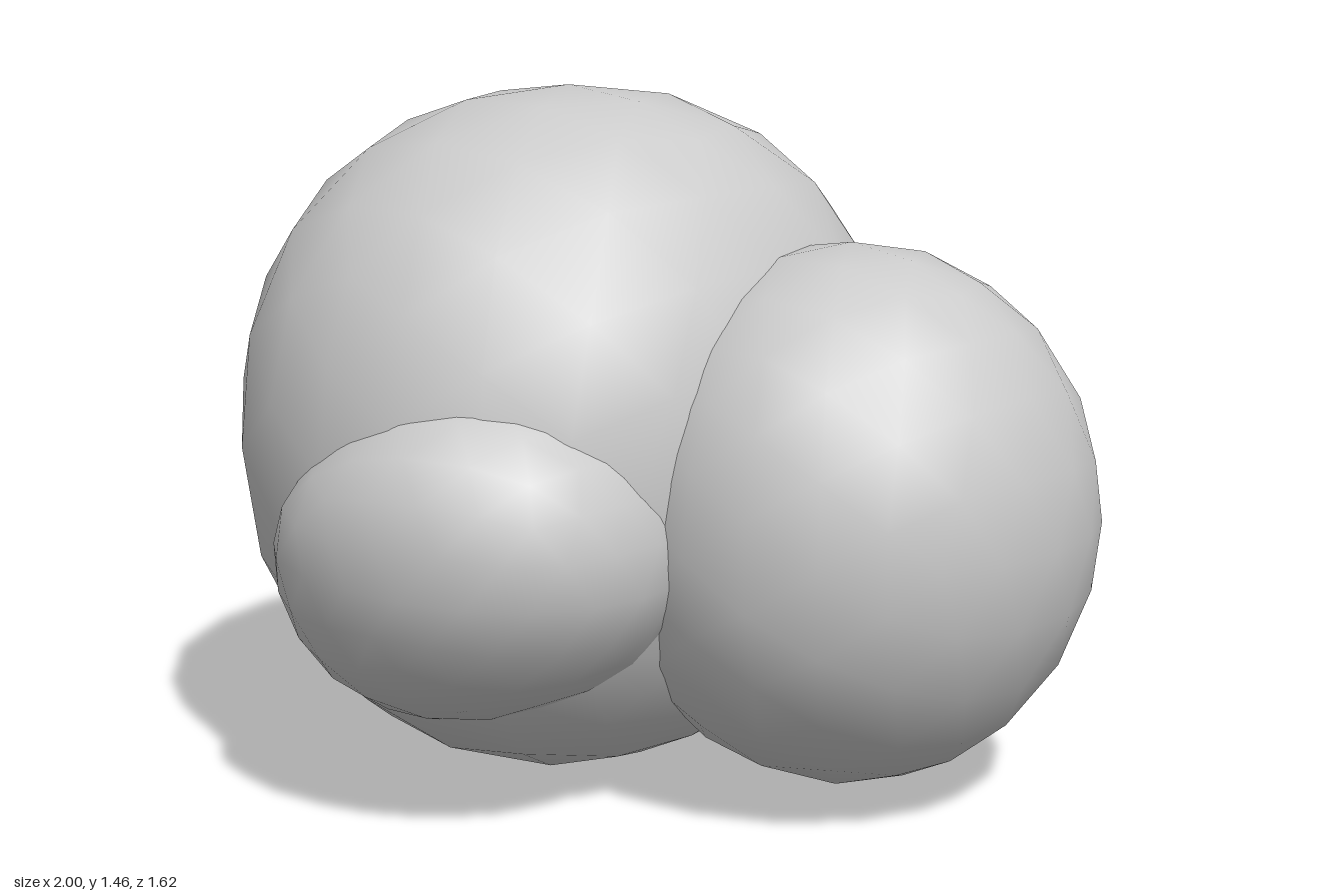
import * as THREE from 'three';
import { mergeVertices } from 'three/addons/utils/BufferGeometryUtils.js';

const material = new THREE.MeshStandardMaterial({ color: 0xcccccc });

// One smooth low-poly lobe: a slightly blunt icosphere stretched to its radii.
// power: 2 is round, higher is blunter; shape: a rule that leans it
function lobe(name, center, radii, power, shape, tilt = 0) {
  const ball = new THREE.IcosahedronGeometry(1, 3);
  ball.deleteAttribute('normal');
  ball.deleteAttribute('uv');
  const geometry = mergeVertices(ball);
  const p = geometry.attributes.position;
  const v = new THREE.Vector3();
  for (let i = 0; i < p.count; i++) {
    v.fromBufferAttribute(p, i);
    const sum = v.toArray().reduce((s, c) => s + Math.abs(c) ** power, 0);
    v.divideScalar(sum ** (1 / power));
    shape(v);
    p.setXYZ(i, v.x, v.y, v.z);
  }
  geometry.scale(...radii);
  geometry.computeVertexNormals();
  const mesh = new THREE.Mesh(geometry, material);
  mesh.name = name;
  mesh.position.set(...center);
  mesh.rotation.z = tilt;
  return mesh;
}

export function createModel() {
  const group = new THREE.Group();
  group.name = 'lobedCluster';

  // Large central lobe, a little wider at the top and leaning to its left at the front
  group.add(lobe('mainLobe', [-0.148, 0.735, -0.05], [0.65, 0.732, 0.76], 2.18, (v) => {
    v.x = v.x * (1 + 0.05 * v.y) - 0.02 * v.y + 0.04 * v.z;
  }));

  // Side lobes
  group.add(lobe('leftLobe', [0.478, 0.604, -0.218], [0.522, 0.57, 0.543], 2.03, (v) => {
    v.x += 0.02 * v.y + 0.03 * v.z;
    v.z += 0.03 * v.y;
  }));
  group.add(lobe('rightLobe', [-0.55, 0.532, -0.29], [0.45, 0.412, 0.455], 2.12, (v) => {
    v.x -= 0.02 * v.y;
  }));

  // Small tilted lobe at the front, its top leaning forward
  group.add(lobe('frontLobe', [0.045, 0.555, 0.425], [0.425, 0.332, 0.375], 2.25, (v) => {
    v.z += 0.15 * v.y;
  }, 0.4));

  return group;
}
